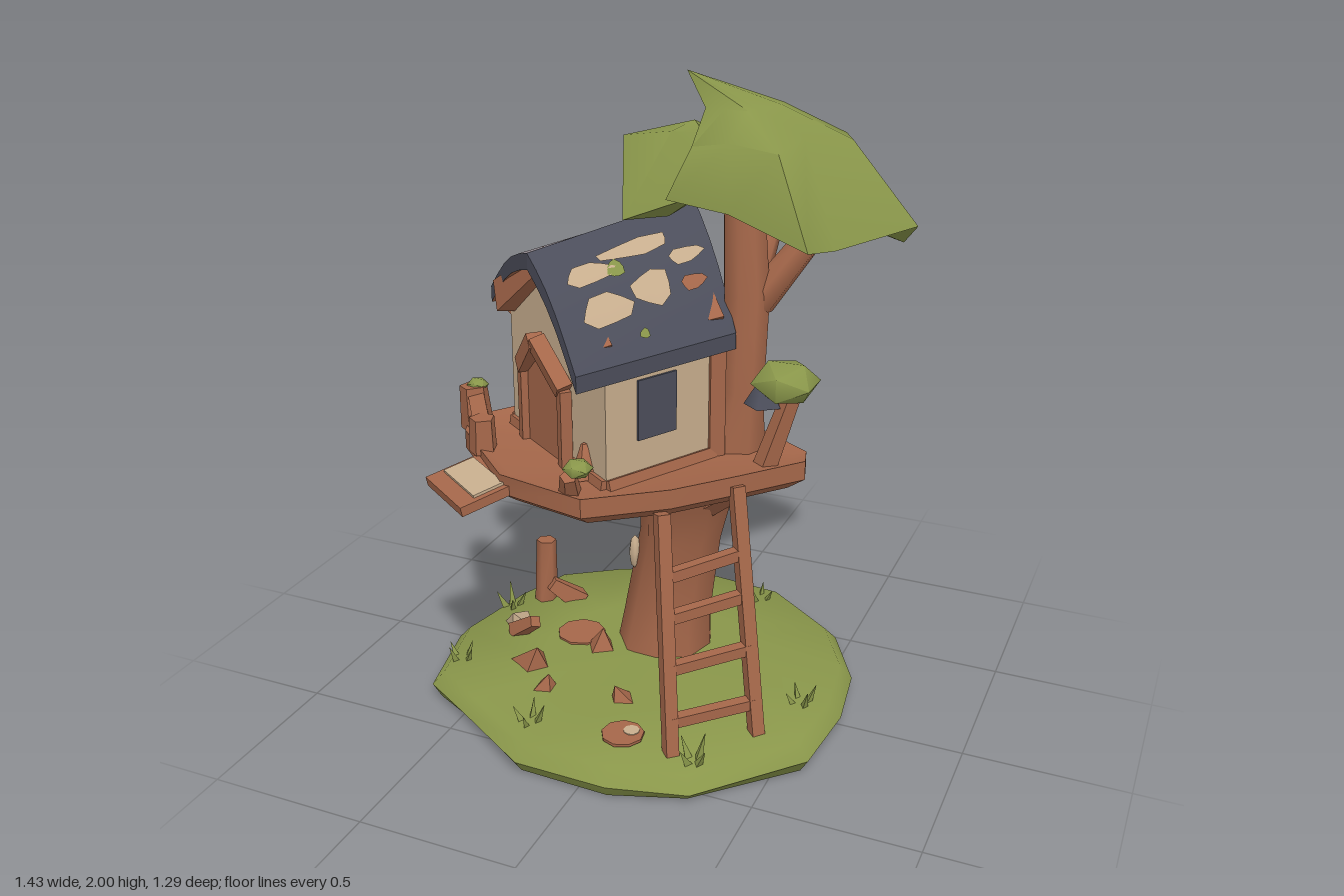
import * as THREE from 'three';
import { toCreasedNormals } from 'three/addons/utils/BufferGeometryUtils.js';

const mat = (name, color) => {
  const m = new THREE.MeshStandardMaterial({ color });
  m.name = name;
  return m;
};
const V = (x, y, z) => new THREE.Vector3(x, y, z);

export function createModel() {
  const wood = mat('wood', 0xa5674a), leaf = mat('leaf', 0x89964a), plaster = mat('plaster', 0xc8ae8e);
  const slate = mat('dark slate', 0x4c4e5b), paleSlate = mat('pale slate', 0x968d93);
  const root = new THREE.Group();
  root.name = 'treeHouse';

  const add = (name, geo, material) => {
    const m = new THREE.Mesh(geo, material);
    m.name = name;
    root.add(m);
    return m;
  };
  const fromTriangles = (pts, crease) => toCreasedNormals(new THREE.BufferGeometry().setFromPoints(pts), crease);
  // Skin over rings of equal point count, listed from bottom to top
  const skin = (rings, crease) => {
    const tris = [];
    for (let j = 0; j < rings.length - 1; j++) {
      const n = rings[j].length;
      for (let i = 0; i < n; i++) {
        const k = (i + 1) % n;
        const [a, b, c, d] = [rings[j][i], rings[j + 1][i], rings[j][k], rings[j + 1][k]];
        if (!a.equals(c)) tris.push(a, b, c);
        if (!b.equals(d)) tris.push(c, b, d);
      }
    }
    return fromTriangles(tris, crease);
  };
  // Elliptical ring
  const ring = (x, y, z, rx, rz, n, wobble = 0) => Array.from({ length: n }, (_, i) => {
    const t = i / n * Math.PI * 2, w = 1 + wobble * Math.sin(i * 2.3);
    return V(x + Math.cos(t) * rx * w, y, z + Math.sin(t) * rz * w);
  });
  // Outline in plan, scaled about the point (cx, 0)
  const outlineRing = (outline, cx, s, y, bump = 0) =>
    outline.map(([x, z], i) => V(cx + (x - cx) * s, y + bump * Math.sin(i * 2.3), z * s));
  // Round or square member between two points
  const limb = (name, a, b, r0, r1 = r0, sides = 4, material = wood) => {
    const d = b.clone().sub(a);
    const g = toCreasedNormals(new THREE.CylinderGeometry(r1, r0, d.length(), sides), 1.2);
    const m = add(name, g, material);
    m.position.copy(a).addScaledVector(d, 0.5);
    m.quaternion.setFromUnitVectors(V(0, 1, 0), d.normalize());
    return m;
  };
  const box = (name, w, h, d, x, y, z, ry, material) => {
    const m = add(name, new THREE.BoxGeometry(w, h, d), material);
    m.position.set(x, y, z);
    m.rotation.y = ry;
    return m;
  };

  // Ground
  const lawn = [[0.62, 0.02], [0.6, 0.29], [0.33, 0.56], [0.1, 0.64], [-0.2, 0.63], [-0.48, 0.45], [-0.64, 0.37],
    [-0.72, 0.06], [-0.66, -0.23], [-0.57, -0.4], [-0.4, -0.57], [-0.16, -0.65], [0.22, -0.6], [0.46, -0.45], [0.59, -0.2]];
  const lawnRing = (s, y, bump) => outlineRing(lawn, -0.05, s, y, bump);
  add('ground', skin([lawnRing(0, 0), lawnRing(0.96, 0.002), lawnRing(1, 0.04, 0.01), lawnRing(0.94, 0.085, 0.012),
    lawnRing(0.5, 0.1), lawnRing(0, 0.1)], 1.0), leaf);

  // Trunk and branches
  add('lowerTrunk', skin([
    ring(-0.04, 0.06, -0.14, 0.16, 0.17, 9, 0.06), ring(-0.03, 0.2, -0.14, 0.145, 0.15, 9),
    ring(0.015, 0.5, -0.14, 0.135, 0.13, 9), ring(0.045, 0.65, -0.11, 0.15, 0.155, 9),
    ring(0.06, 0.82, -0.09, 0.18, 0.19, 9)], 1.2), wood);
  add('upperTrunk', skin([
    ring(0.21, 0.82, -0.085, 0.1, 0.09, 8), ring(0.235, 1.05, -0.08, 0.068, 0.07, 8),
    ring(0.24, 1.35, -0.085, 0.072, 0.07, 8), ring(0.21, 1.75, -0.11, 0.06, 0.06, 8)], 1.2), wood);
  limb('rightBranch', V(0.27, 1.32, -0.1), V(0.45, 1.58, -0.17), 0.055, 0.04, 6);
  limb('backBranch', V(0.24, 1.34, -0.1), V(0.27, 1.58, -0.25), 0.05, 0.035, 6);
  limb('leftStrut', V(-0.03, 0.62, -0.07), V(-0.42, 0.79, 0.08), 0.07, 0.035, 5);
  limb('rightStrut', V(0.13, 0.66, -0.05), V(0.32, 0.8, 0.02), 0.05, 0.03, 5);
  const knot = add('trunkKnot', new THREE.SphereGeometry(0.04, 6, 4), plaster);
  knot.scale.set(0.5, 1.5, 0.6);
  knot.position.set(-0.125, 0.42, -0.08);

  // Canopy: rim, shoulder ring and peak
  const rim = [V(0.71, 1.57, -0.2), V(0.53, 1.53, 0), V(0.49, 1.55, 0.13), V(0.26, 1.64, 0.14), V(0.07, 1.66, 0.13),
    V(0.04, 1.66, -0.06), V(0.05, 1.64, -0.24), V(0.06, 1.7, -0.42), V(0.3, 1.62, -0.43), V(0.42, 1.53, -0.36),
    V(0.63, 1.47, -0.37)];
  const at = (p) => rim.map(() => p);
  add('canopy', skin([
    at(V(0.25, 1.68, -0.12)), rim,
    rim.map((p, i) => V(0.24 + (p.x - 0.24) * 0.6, 1.82 + (i % 2 ? 0.01 : -0.01), -0.1 + (p.z + 0.1) * (p.z > 0 ? 0.9 : 0.55))),
    rim.map((p) => V(0.19 + (p.x - 0.24) * 0.3, 1.9, -0.08 + (p.z + 0.12) * 0.35)),
    at(V(0.08, 2.0, 0))], 1.0), leaf);
  const lobe = [V(0.14, 1.66, 0.03), V(-0.09, 1.57, 0.07), V(-0.18, 1.77, -0.14), V(0.06, 1.6, -0.23)];
  add('smallCanopy', skin([lobe.map(() => V(0, 1.56, -0.06)), lobe,
    lobe.map((p) => V(0.06 + p.x * 0.4, 1.82, -0.05 + p.z * 0.4)), lobe.map(() => V(0.08, 1.85, -0.06))], 0.9), leaf);

  // Platform
  const deck = [[0.46, -0.02], [0.31, 0.16], [0.17, 0.32], [-0.04, 0.48], [-0.33, 0.42], [-0.59, 0.17], [-0.63, 0.06],
    [-0.45, -0.2], [-0.2, -0.49], [0.1, -0.3], [0.44, -0.09]];
  const deckRing = (s, y) => outlineRing(deck, -0.06, s, y);
  add('platform', skin([deckRing(0, 0.77), deckRing(0.9, 0.775), deckRing(1, 0.81), deckRing(1, 0.87),
    deckRing(0.93, 0.86), deckRing(0, 0.86)], 0.7), wood);

  // House walls: corners run left front, right front, right back, left back
  const corners = [[-0.49, 0.03], [-0.01, 0.37], [0.18, 0.02], [-0.28, -0.31]];
  const peaks = [V(-0.25, 1.48, 0.2), null, V(-0.04, 1.52, -0.15), null];
  const wallTris = [];
  corners.forEach(([x, z], i) => {
    const [u, w] = corners[(i + 1) % 4];
    const a = V(x, 0.85, z), b = V(u, 0.85, w), c = V(u, 1.28, w), d = V(x, 1.28, z);
    wallTris.push(a, b, c, a, c, d);
    limb('sillBeam', V(x, 0.868, z), V(u, 0.868, w), 0.025);
    if (peaks[i]) {
      wallTris.push(d, c, peaks[i]);
      limb('gableBoard', V(x, 1.28, z), peaks[i], i ? 0.035 : 0.07, 0.04);
      limb('gableBoard', V(u, 1.28, w), peaks[i], 0.03, 0.04);
    } else limb('eaveBeam', V(x, 1.235, z), V(u, 1.235, w), 0.02);
  });
  add('walls', fromTriangles(wallTris, 0.3), plaster);
  limb('cornerPost', V(0.18, 0.86, 0.01), V(0.18, 1.27, 0.01), 0.035);
  limb('cornerStump', V(-0.1, 0.86, 0.31), V(-0.11, 0.96, 0.305), 0.05, 0.01, 5);

  // Roof: a runs from front to back, b from ridge to eave
  const ridge = [V(-0.275, 1.515, 0.31), V(0, 1.575, -0.25)];
  const eaves = { pale: [V(-0.59, 1.28, -0.03), V(-0.33, 1.28, -0.29)], dark: [V(-0.03, 1.25, 0.51), V(0.24, 1.25, 0)] };
  const roofPoint = (side, a, b, lift = 0) => {
    const p = ridge[0].clone().lerp(ridge[1], a).lerp(eaves[side][0].clone().lerp(eaves[side][1], a), b);
    p.y += 0.035 * Math.sin(Math.PI * b) + lift;
    return p;
  };
  for (const [side, top] of [['pale', paleSlate], ['dark', slate]]) {
    const g = new THREE.BoxGeometry(1, 1, 1, 4, 1, 5), pos = g.attributes.position;
    for (let i = 0; i < pos.count; i++) {
      const a = side === 'dark' ? pos.getX(i) + 0.5 : 0.5 - pos.getX(i);
      const p = roofPoint(side, a, pos.getZ(i) + 0.5, (pos.getY(i) - 0.5) * 0.05);
      pos.setXYZ(i, p.x, p.y, p.z);
    }
    g.computeVertexNormals();
    // The back rake and underside are bare wood
    const ends = side === 'dark' ? [wood, slate] : [slate, wood];
    add(side + 'RoofSlope', g, [...ends, top, wood, top, top]);
  }
  // Worn patches lying on the slopes
  const patch = (side, a, b, ra, rb, material) => {
    const pts = [], dir = side === 'dark' ? -1 : 1, n = 9;
    const rimPoint = (i) => {
      const t = dir * i / n * Math.PI * 2, w = 1 + 0.15 * Math.sin((i % n) * 2.1 + a * 9);
      return roofPoint(side, a + Math.cos(t) * ra * w, b + Math.sin(t) * rb * w, 0.008);
    };
    for (let i = 0; i < n; i++) pts.push(roofPoint(side, a, b, 0.008), rimPoint(i), rimPoint(i + 1));
    add('roofPatch', fromTriangles(pts, 1), material);
  };
  [[0.16, 0.86, 0.1, 0.11], [0.32, 0.6, 0.11, 0.12], [0.68, 0.45, 0.12, 0.1], [0.53, 0.24, 0.11, 0.1]]
    .forEach((p) => patch('pale', ...p, plaster));
  patch('pale', 0.12, 0.45, 0.025, 0.15, wood);
  [[0.25, 0.4, 0.14, 0.09], [0.55, 0.3, 0.22, 0.075], [0.82, 0.47, 0.11, 0.06], [0.28, 0.68, 0.15, 0.11],
    [0.57, 0.62, 0.12, 0.12]].forEach((p) => patch('dark', ...p, plaster));
  patch('dark', 0.82, 0.66, 0.08, 0.05, wood);
  patch('dark', 0.4, 0.42, 0.05, 0.07, leaf);
  patch('dark', 0.45, 0.88, 0.03, 0.03, leaf);

  // Window, door and porch
  box('windowPane', 0.14, 0.185, 0.018, 0.075, 1.075, 0.209, 1.07, slate);
  box('door', 0.22, 0.28, 0.03, -0.3, 1.0, 0.17, -0.617, wood);
  const doorPeak = V(-0.31, 1.22, 0.21);
  for (const p of [V(-0.4, 0.86, 0.12), V(-0.19, 0.86, 0.27)]) {
    const head = V(p.x, 1.1, p.z);
    limb('doorPost', p, head, 0.025);
    limb('doorGable', head, doorPeak, 0.035);
  }
  limb('wallPeg', V(-0.36, 1.0, -0.13), V(-0.41, 1.0, -0.17), 0.022, 0.018, 6);
  const step = box('step', 0.25, 0.03, 0.2, -0.43, 0.815, 0.4, -0.617, wood);
  const tread = box('stepTread', 0.21, 0.01, 0.1, -0.43, 0.834, 0.4, -0.617, plaster);
  for (const s of [step, tread]) { s.rotation.order = 'YXZ'; s.rotation.x = 0.2; }

  // Railing remnants
  for (const [x, z, u, w] of [[-0.59, 0.09, -0.48, 0.25], [-0.22, -0.43, -0.09, -0.37]]) {
    limb('railPost', V(x, 0.85, z), V(x - 0.01, 0.99, z), 0.055, 0.045, 5);
    limb('railPost', V(u, 0.85, w), V(u, 0.96, w), 0.045, 0.04, 5);
    limb('rail', V(x, 0.95, z), V(u, 0.93, w), 0.035);
    limb('rail', V(x, 0.88, z), V(u, 0.88, w), 0.04);
  }
  limb('railStump', V(-0.1, 0.85, 0.42), V(-0.08, 0.93, 0.47), 0.035, 0.025, 5);
  limb('sideBranch', V(0.34, 0.83, 0.01), V(0.43, 1.12, 0), 0.04, 0.03, 5);
  for (const [x, y, z, r] of [[0.4, 1.125, 0.01, 0.105], [-0.06, 0.95, 0.45, 0.045], [-0.59, 0.99, 0.08, 0.035]]) {
    const bush = add('bush', toCreasedNormals(new THREE.IcosahedronGeometry(r, 0), 1.2), leaf);
    bush.scale.y = 0.65;
    bush.position.set(x, y, z);
  }
  const shade = add('lanternCap', new THREE.ConeGeometry(0.06, 0.1, 5), slate);
  shade.position.set(0.335, 1.095, 0.01);

  // Ladder
  const rails = [[V(0.23, 0.08, 0.46), V(0.15, 0.8, 0.34)], [V(0.43, 0.08, 0.27), V(0.31, 0.84, 0.16)]];
  rails.forEach(([a, b]) => limb('ladderRail', a, b, 0.028));
  for (const t of [0.14, 0.36, 0.57, 0.74]) {
    limb('ladderRung', rails[0][0].clone().lerp(rails[0][1], t), rails[1][0].clone().lerp(rails[1][1], t), 0.024);
  }

  // Post, stones and grass on the ground
  limb('groundPost', V(-0.53, 0.08, -0.22), V(-0.53, 0.31, -0.23), 0.04, 0.034, 6);
  limb('groundLog', V(-0.42, 0.08, -0.26), V(-0.5, 0.16, -0.2), 0.05, 0.03, 4);
  limb('leaningStake', V(-0.52, 0.09, 0.03), V(-0.42, 0.17, 0.07), 0.035, 0.025, 4);
  for (const [x, z, r, m] of [[-0.35, 0.21, 0.08, wood], [-0.2, 0.02, 0.07, wood], [-0.02, 0.28, 0.055, wood],
    [-0.26, 0.3, 0.05, wood], [-0.53, 0.0, 0.06, plaster]]) {
    const s = add('stone', toCreasedNormals(new THREE.ConeGeometry(r, r * 1.4, 4), 0.3), m);
    s.position.set(x, 0.085 + r * 0.5, z);
    s.rotation.set(0.25, x * 9, 0.3);
  }
  for (const [x, z, r, m] of [[-0.3, -0.03, 0.08, wood], [0.07, 0.45, 0.065, wood], [0.09, 0.43, 0.025, plaster]]) {
    const bare = add('barePatch', new THREE.CylinderGeometry(r, r, 0.009, 9), m);
    bare.position.set(x, 0.107 - r * 0.06, z);
  }
  [[0.16, -0.5], [-0.62, -0.13], [0.3, 0.46], [-0.23, 0.48], [0.5, 0.06], [-0.6, 0.25]].forEach(([x, z], k) => {
    for (let i = 0; i < 4; i++) {
      const t = i * 1.57 + k, a = V(x + Math.cos(t) * 0.015, 0.06, z + Math.sin(t) * 0.015);
      limb('grassBlade', a, V(x + Math.cos(t) * 0.05, 0.13 + 0.01 * (i % 3), z + Math.sin(t) * 0.05), 0.018, 0.001, 3, leaf);
    }
  });

  return root;
}
